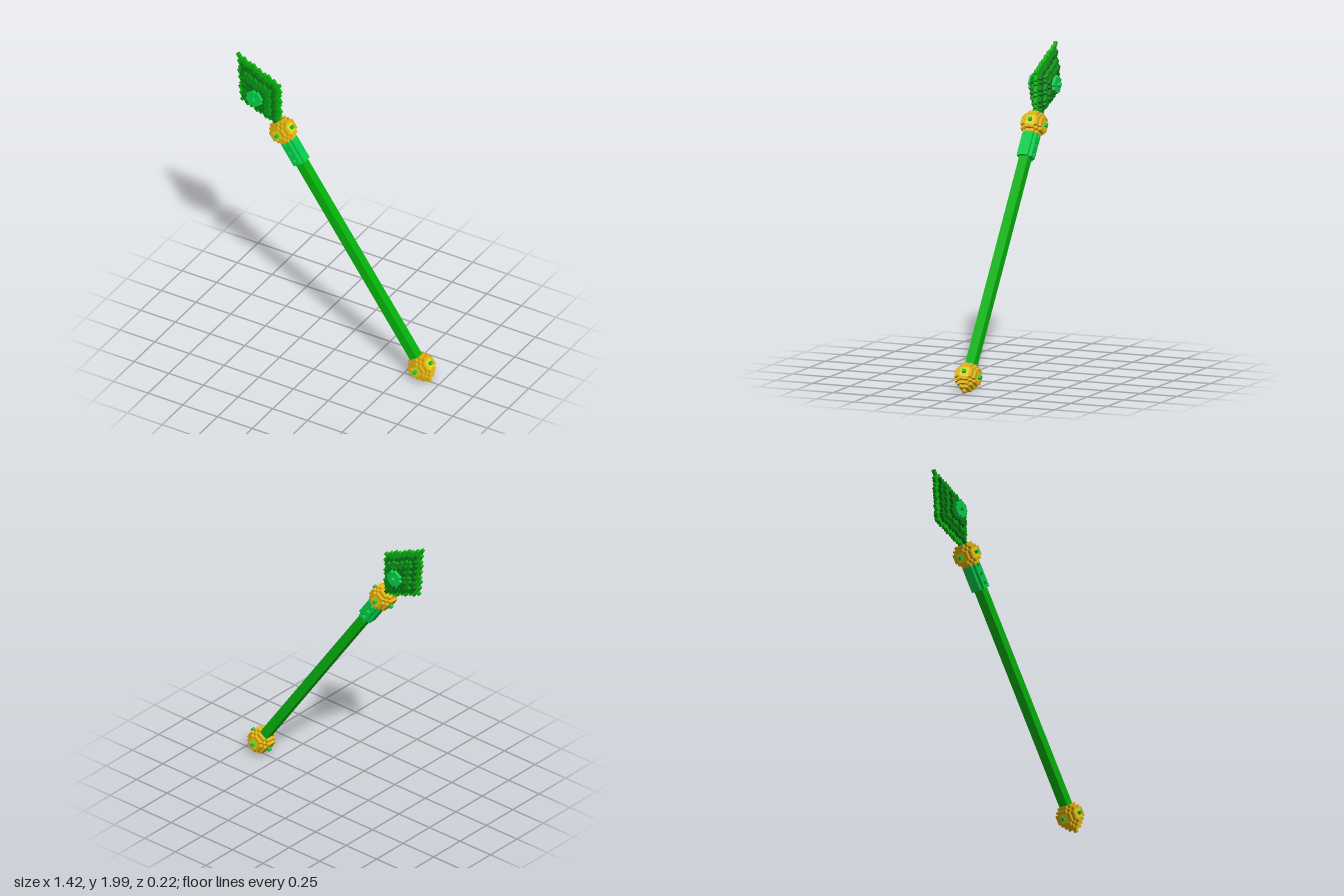
import * as THREE from 'three';

const S = 0.02; // block size

const mat = (name, color) => {
  const m = new THREE.MeshStandardMaterial({ color });
  m.name = name;
  return m;
};

// Collects blocks on a grid and turns the exposed faces into one mesh per part
class Blocks {
  constructor() { this.cells = new Map(); }
  set(x, y, z, part) { this.cells.set(`${x},${y},${z}`, { p: [x, y, z], part }); }
  // fill every cell of a range that passes a test
  fill([x, y, z], [rx, ry, rz], test, part) {
    for (let i = -rx; i <= rx; i++)
      for (let j = -ry; j <= ry; j++)
        for (let k = -rz; k <= rz; k++)
          if (test(i, j, k)) this.set(x + i, y + j, z + k, part);
  }
  geometry(part) {
    const pos = [], nor = [];
    for (const { p, part: own } of this.cells.values()) {
      if (own !== part) continue;
      for (let axis = 0; axis < 3; axis++) for (const sign of [-1, 1]) {
        const n = [0, 0, 0];
        n[axis] = sign;
        if (this.cells.has(p.map((c, i) => c + n[i]).join())) continue;
        const a = (axis + 1) % 3, b = (axis + 2) % 3;
        const corner = (s, t) => {
          const c = [...p];
          c[axis] += sign / 2;
          c[a] += s / 2;
          c[b] += t / 2;
          return c.map(v => v * S);
        };
        const q = [corner(-1, -1), corner(1, -1), corner(1, 1), corner(-1, 1)];
        if (sign < 0) q.reverse();
        for (const i of [0, 1, 2, 0, 2, 3]) { pos.push(...q[i]); nor.push(...n); }
      }
    }
    const g = new THREE.BufferGeometry();
    g.setAttribute('position', new THREE.Float32BufferAttribute(pos, 3));
    g.setAttribute('normal', new THREE.Float32BufferAttribute(nor, 3));
    return g;
  }
}

export function createModel() {
  const green = mat('green', 0x06b40c);
  const midGreen = mat('mid green', 0x069614);
  const darkGreen = mat('dark green', 0x067c12);
  const emerald = mat('emerald', 0x06d04c);
  const gold = mat('gold', 0xe0b010);
  const yellow = mat('yellow', 0xf0e00c);

  const parts = {
    orbs: gold, orbCaps: yellow, orbStuds: emerald, collar: emerald, bladeEdge: green,
    bladeFace: darkGreen, bladeRidge: midGreen, bladeGem: emerald,
  };
  const blocks = new Blocks();

  // collar under the upper orb, with small notches that show the shaft
  blocks.fill([0, 80, 0], [2, 4, 2],
    (i, j, k) => i * i + k * k <= 5 && !(j % 3 === 0 && i === 0 && Math.abs(k) === 2), 'collar');

  // leaf-shaped blade: layers get smaller away from the middle plane
  const layers = [[1, 'bladeEdge'], [0.8, 'bladeFace'], [0.62, 'bladeRidge'], [0.44, 'bladeFace']];
  layers.forEach(([f, part], d) => {
    const inside = (i, j) => Math.abs(i) <= 8.4 * f * (1 - Math.abs(j) / ((j > 0 ? 14.4 : 12.5) * f));
    for (const z of [-d, d]) blocks.fill([0, 101, z], [8, 14, 0], inside, part);
  });

  // gem on both faces of the blade
  for (const s of [-1, 1]) {
    blocks.fill([0, 101, 4 * s], [2, 2, 0], (i, j) => i * i + j * j <= 5, 'bladeGem');
    blocks.set(0, 101, 5 * s, 'bladeGem');
  }

  // pommel and upper orb with yellow caps and emerald studs
  for (const y of [0, 87]) {
    blocks.fill([0, y, 0], [3, 3, 3], (i, j, k) => i * i + j * j + k * k <= 14, 'orbs');
    for (const s of [-1, 1]) {
      blocks.fill([0, y, 3 * s], [1, 1, 0], () => true, 'orbCaps');
      blocks.fill([3 * s, y, 0], [0, 1, 1], () => true, 'orbCaps');
      blocks.set(0, y, 4 * s, 'orbStuds');
      blocks.set(4 * s, y, 0, 'orbStuds');
    }
  }
  // pointed end of the pommel
  blocks.fill([0, -4, 0], [1, 0, 1], () => true, 'orbs');
  blocks.set(0, -5, 0, 'orbs');

  const spear = new THREE.Group();
  spear.name = 'spear';
  for (const [name, material] of Object.entries(parts)) {
    const mesh = new THREE.Mesh(blocks.geometry(name), material);
    mesh.name = name;
    spear.add(mesh);
  }

  // square shaft between pommel and upper orb, running inside the collar
  const from = 3 * S, to = 75.6 * S;
  const shaft = new THREE.Mesh(new THREE.BoxGeometry(3 * S, to - from, 3 * S), green);
  shaft.name = 'shaft';
  shaft.position.y = (from + to) / 2;
  spear.add(shaft);

  // lean the spear to the side
  spear.rotation.z = THREE.MathUtils.degToRad(35);
  spear.position.set(0.6265, 0.098, 0);

  const model = new THREE.Group();
  model.name = 'model';
  model.add(spear);
  return model;
}
